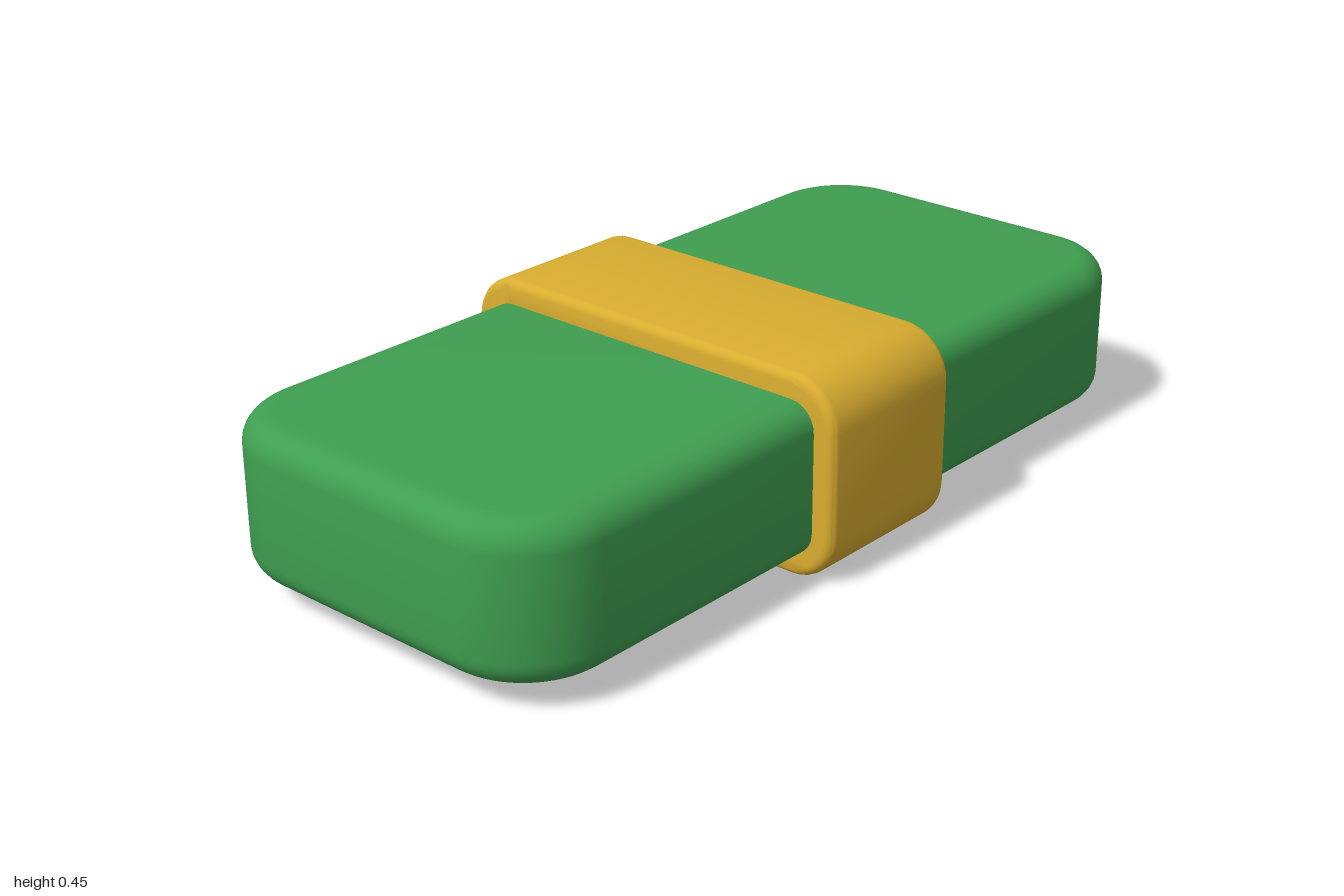
import * as THREE from 'three';
import { toCreasedNormals } from 'three/addons/utils/BufferGeometryUtils.js';

// Rounded rectangle centred on the origin, from half sizes and corner radius
function roundedRect(path, w, h, r) {
  path.moveTo(w, -h + r);
  path.absarc(w - r, h - r, r, 0, Math.PI / 2);
  path.absarc(-w + r, h - r, r, Math.PI / 2, Math.PI);
  path.absarc(-w + r, -h + r, r, Math.PI, Math.PI * 1.5);
  path.absarc(w - r, -h + r, r, Math.PI * 1.5, Math.PI * 2);
  path.closePath();
  return path;
}

// Bevelled extrusion centred on its depth; bevel grows the outline outwards
function slab(shape, depth, bevel, bevelSegments, curveSegments) {
  const geometry = new THREE.ExtrudeGeometry(shape, {
    depth: depth - 2 * bevel, bevelThickness: bevel, bevelSize: bevel,
    bevelSegments, curveSegments,
  });
  geometry.translate(0, 0, -depth / 2 + bevel);
  return geometry;
}

export function createModel() {
  const group = new THREE.Group();
  const green = new THREE.MeshStandardMaterial({ name: 'green', color: 0x3f9e50 });
  const gold = new THREE.MeshStandardMaterial({ name: 'gold', color: 0xd9ad30 });
  const midY = 0.2235;

  // Long pillow-edged body, extruded upwards from its plan outline
  const bevel = 0.06;
  const plan = roundedRect(new THREE.Shape(), 0.45 - bevel, 1 - bevel, 0.2 - bevel);
  const bodyGeometry = slab(plan, 0.34, bevel, 6, 8);
  bodyGeometry.rotateX(-Math.PI / 2);
  const body = new THREE.Mesh(toCreasedNormals(bodyGeometry, 0.6), green);
  body.name = 'body';
  body.position.y = midY;
  group.add(body);

  // Band wrapped around the middle, its inner wall sunk into the body
  const edge = 0.02;
  const section = roundedRect(new THREE.Shape(), 0.5 - edge, midY - edge, 0.11 - edge);
  section.holes.push(roundedRect(new THREE.Path(), 0.43, 0.15, 0.06));
  const band = new THREE.Mesh(toCreasedNormals(slab(section, 0.39, edge, 4, 4), 0.6), gold);
  band.name = 'band';
  band.position.y = midY;
  group.add(band);

  return group;
}
